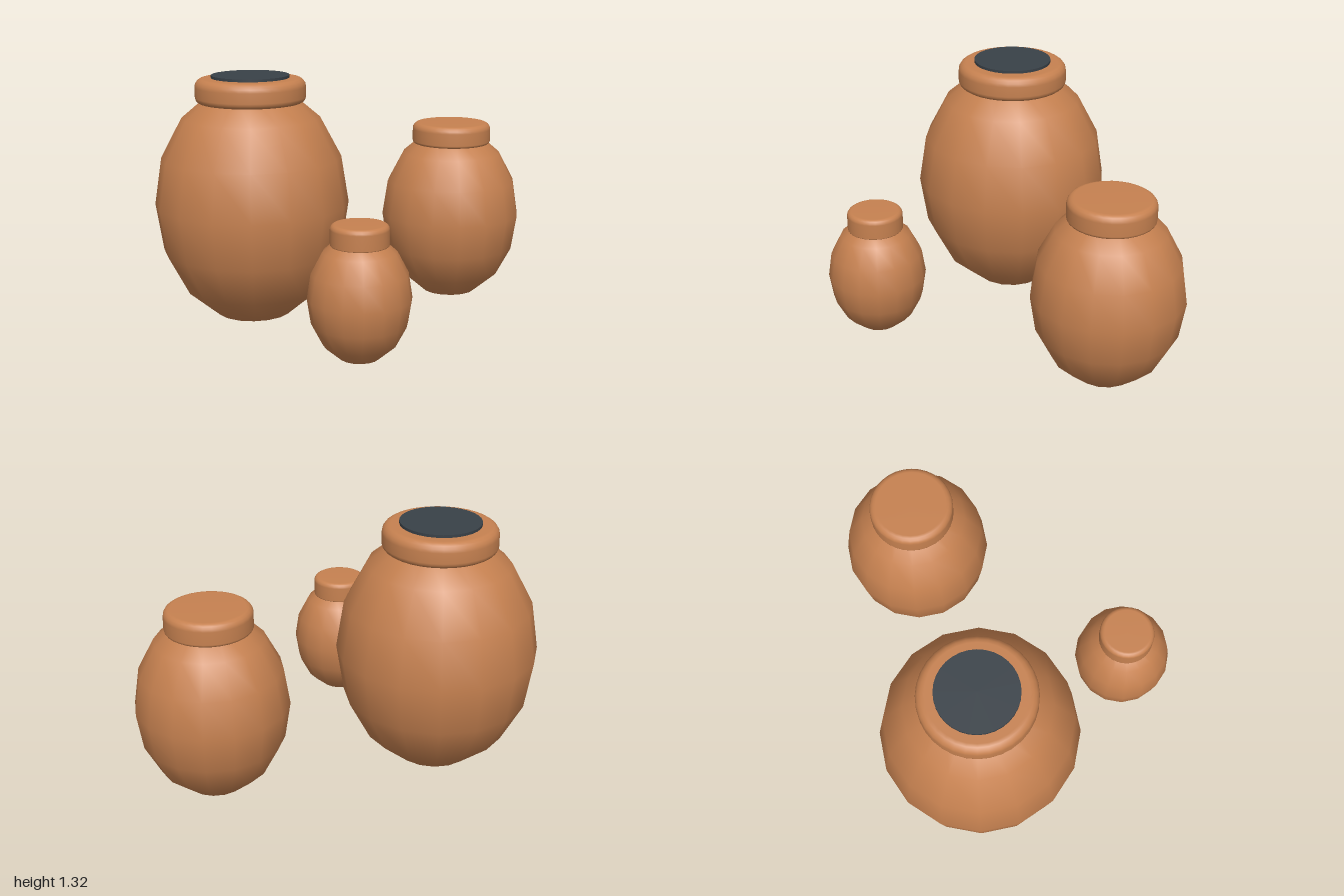
import * as THREE from 'three';

const clay = new THREE.MeshStandardMaterial({ color: 0xc68150 });
clay.name = 'terracotta';
const dark = new THREE.MeshStandardMaterial({ color: 0x394148 });
dark.name = 'charcoal';

function part(name, geometry, material, y) {
  const mesh = new THREE.Mesh(geometry, material);
  mesh.name = name;
  mesh.position.y = y;
  return mesh;
}

// Rounded collar: flat cap, soft shoulder above and smaller rounding below
function collarGeometry(r, height, top, bottom) {
  const points = [new THREE.Vector2(0, 0)];
  const arc = (radius, y, from) => {
    for (let i = 0; i <= 4; i++) {
      const a = from + (i / 4) * Math.PI / 2;
      points.push(new THREE.Vector2(r - radius + radius * Math.cos(a), y + radius * Math.sin(a)));
    }
  };
  arc(bottom, bottom, -Math.PI / 2);
  arc(top, height - top, 0);
  points.push(new THREE.Vector2(0, height));
  return new THREE.LatheGeometry(points, 32);
}

// Egg-shaped jar with a collar
function jar({ name, x, z, y, r, h, neck, y0, y1, top, bottom }) {
  const group = new THREE.Group();
  group.name = name;
  group.position.set(x, 0, z);
  const body = new THREE.SphereGeometry(1, 16, 8).scale(r, h, r);
  group.add(part('body', body, clay, y));
  group.add(part('collar', collarGeometry(neck, y1 - y0, top, bottom), clay, y0));
  return group;
}

export function createModel() {
  const model = new THREE.Group();
  model.name = 'jars';
  const large = jar({ name: 'largeJar', x: -0.49, z: -0.15, y: 0.65, r: 0.51, h: 0.645,
    neck: 0.288, y0: 1.185, y1: 1.313, top: 0.045, bottom: 0.03 });
  // Dark opening on the large jar
  large.add(part('opening', new THREE.CylinderGeometry(0.203, 0.203, 0.014, 32), dark, 1.321));
  const medium = jar({ name: 'mediumJar', x: 0.617, z: -0.493, y: 0.5, r: 0.382, h: 0.485,
    neck: 0.215, y0: 0.897, y1: 1.012, top: 0.035, bottom: 0.015 });
  const small = jar({ name: 'smallJar', x: 0.02, z: 0.615, y: 0.353, r: 0.253, h: 0.323,
    neck: 0.142, y0: 0.612, y1: 0.717, top: 0.025, bottom: 0.006 });
  model.add(large, medium, small);
  return model;
}
